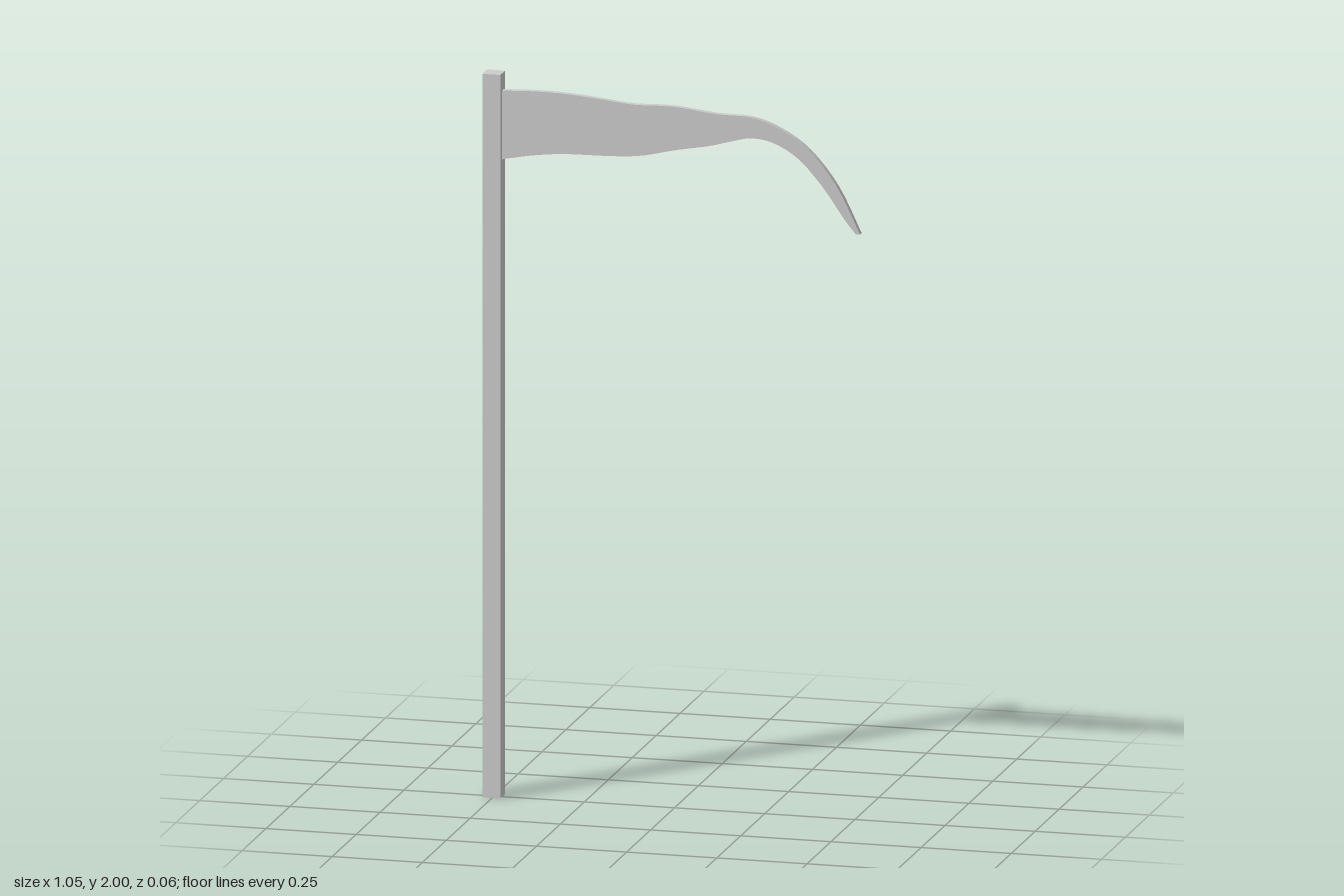
import * as THREE from 'three';

const toPoints = (list) => list.map(([x, y]) => new THREE.Vector2(x, y));

export function createModel() {
  const model = new THREE.Group();
  const material = new THREE.MeshStandardMaterial({ color: 0xcccccc });

  // Square upright pole
  const pole = new THREE.Mesh(new THREE.BoxGeometry(0.05, 2, 0.05), material);
  pole.name = 'pole';
  pole.position.set(-0.502, 1, -0.003);
  model.add(pole);

  // Blade outline: spine from root to tip, then cutting edge back to root
  const spine = toPoints([
    [-0.477, 1.953], [-0.39, 1.957], [-0.3, 1.956], [-0.2, 1.948], [-0.11, 1.94],
    [0, 1.942], [0.12, 1.93], [0.22, 1.927], [0.3, 1.9], [0.38, 1.847],
    [0.458, 1.752], [0.522, 1.625],
  ]);
  const edge = toPoints([
    [0.51, 1.625], [0.475, 1.668], [0.42, 1.746], [0.352, 1.82], [0.283, 1.86],
    [0.22, 1.87], [0.165, 1.858], [0.1, 1.84], [0.01, 1.823], [-0.09, 1.8],
    [-0.18, 1.793], [-0.3, 1.79], [-0.39, 1.78], [-0.477, 1.763],
  ]);
  const outline = new THREE.Shape([
    ...new THREE.SplineCurve(spine).getPoints(44),
    ...new THREE.SplineCurve(edge).getPoints(44),
  ]);
  const thickness = 0.017;
  const bladeGeometry = new THREE.ExtrudeGeometry(outline, { depth: thickness, bevelEnabled: false });

  // The blade swings slightly forward toward its tip
  const pos = bladeGeometry.attributes.position;
  for (let i = 0; i < pos.count; i++) {
    pos.setZ(i, pos.getZ(i) - thickness / 2 + 0.0078 + 0.0225 * pos.getX(i));
  }
  bladeGeometry.computeVertexNormals();
  const blade = new THREE.Mesh(bladeGeometry, material);
  blade.name = 'blade';
  model.add(blade);

  return model;
}
